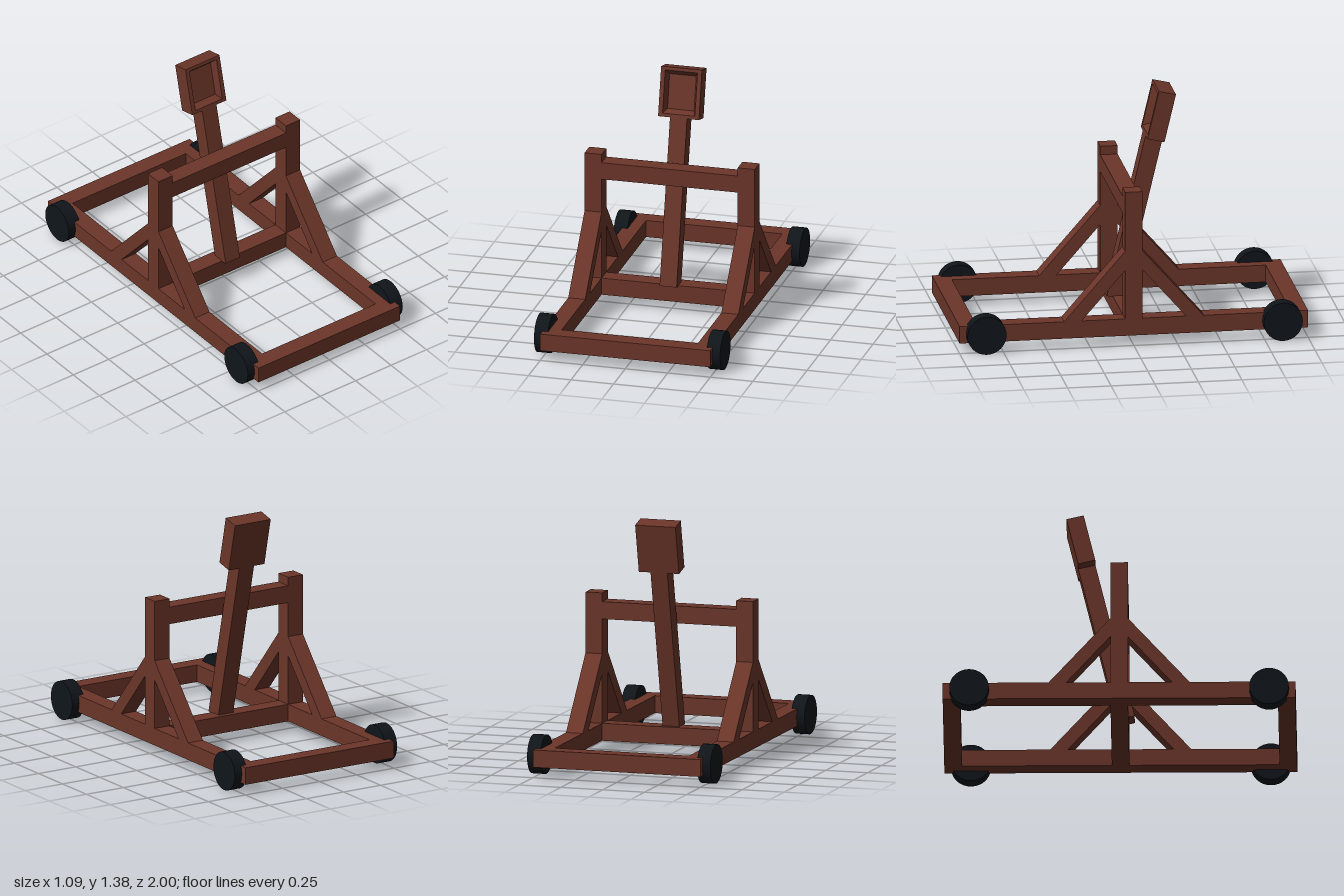
import * as THREE from 'three';

const wood = new THREE.MeshStandardMaterial({ color: 0x6b3529, flatShading: true });
const rubber = new THREE.MeshStandardMaterial({ color: 0x10151a });

function add(parent, name, geometry, material, x = 0, y = 0, z = 0) {
  const mesh = new THREE.Mesh(geometry, material);
  mesh.name = name;
  mesh.position.set(x, y, z);
  parent.add(mesh);
  return mesh;
}

const beam = (parent, name, w, h, d, x, y, z) =>
  add(parent, name, new THREE.BoxGeometry(w, h, d), wood, x, y, z);

// Block with a tapered recess in its front, lofted through rectangular rings
// [halfWidth, halfHeight, z] from the back plate to the recess floor.
function bucketGeometry() {
  const rings = [[0.12, 0.1435, -0.05], [0.12, 0.1435, 0.05], [0.095, 0.124, 0.05], [0.078, 0.1, 0.01]]
    .map(([w, h, z]) => [[-w, -h, z], [w, -h, z], [w, h, z], [-w, h, z]]);
  const points = [];
  const quad = (a, b, c, d) => points.push(...a, ...b, ...c, ...a, ...c, ...d);
  for (let i = 0; i < rings.length - 1; i++) {
    for (let k = 0; k < 4; k++) {
      const n = (k + 1) % 4;
      quad(rings[i][k], rings[i][n], rings[i + 1][n], rings[i + 1][k]);
    }
  }
  const [back, floor] = [rings[0], rings[3]];
  quad(back[3], back[2], back[1], back[0]);
  quad(floor[0], floor[1], floor[2], floor[3]);
  const geometry = new THREE.BufferGeometry();
  geometry.setAttribute('position', new THREE.Float32BufferAttribute(points, 3));
  geometry.computeVertexNormals();
  return geometry;
}

// Slanted brace: profile in the z-y plane, extruded across the rail's width
function braceGeometry(front) {
  const profile = [[0.4, 0.16], [0.05, 0.56], [0.05, 0.446], [0.3, 0.16]]
    .map(([z, y]) => new THREE.Vector2(-z * front, y));
  const geometry = new THREE.ExtrudeGeometry(new THREE.Shape(profile), { depth: 0.1, bevelEnabled: false });
  return geometry.translate(0, 0, -0.05).rotateY(Math.PI / 2);
}

export function createModel() {
  const model = new THREE.Group();
  model.name = 'catapult';

  // Base frame
  for (const [name, z] of [['frontBeam', 0.95], ['rearBeam', -0.95]]) {
    beam(model, name, 1, 0.1, 0.1, 0, 0.11, z);
  }
  beam(model, 'middleBeam', 0.8, 0.1, 0.1, 0, 0.11, 0);

  // Side rails, posts, braces and wheels
  for (const [side, s] of [['left', 1], ['right', -1]]) {
    beam(model, side + 'Rail', 0.1, 0.1, 1.8, s * 0.45, 0.11, 0);
    beam(model, side + 'Post', 0.1, 0.75, 0.1, s * 0.45, 0.535, 0);
    for (const [end, f] of [['Front', 1], ['Rear', -1]]) {
      add(model, side + end + 'Brace', braceGeometry(f), wood, s * 0.45);
      const wheel = new THREE.CylinderGeometry(0.112, 0.112, 0.08, 32).rotateZ(Math.PI / 2);
      add(model, side + end + 'Wheel', wheel, rubber, s * 0.507, 0.112, f * 0.85);
    }
  }
  beam(model, 'crossbar', 0.8, 0.1, 0.1, 0, 0.81, 0);

  // Throwing arm, leaning back, with the bucket at its tip
  const arm = new THREE.Group();
  arm.name = 'throwingArm';
  arm.position.set(0, 0.149, 0.035);
  arm.rotation.x = -THREE.MathUtils.degToRad(13.3);
  beam(arm, 'armShaft', 0.1, 0.967, 0.1, 0, 0.4835, 0);
  add(arm, 'bucket', bucketGeometry(), wood, 0, 1.1105, 0);
  model.add(arm);

  return model;
}
